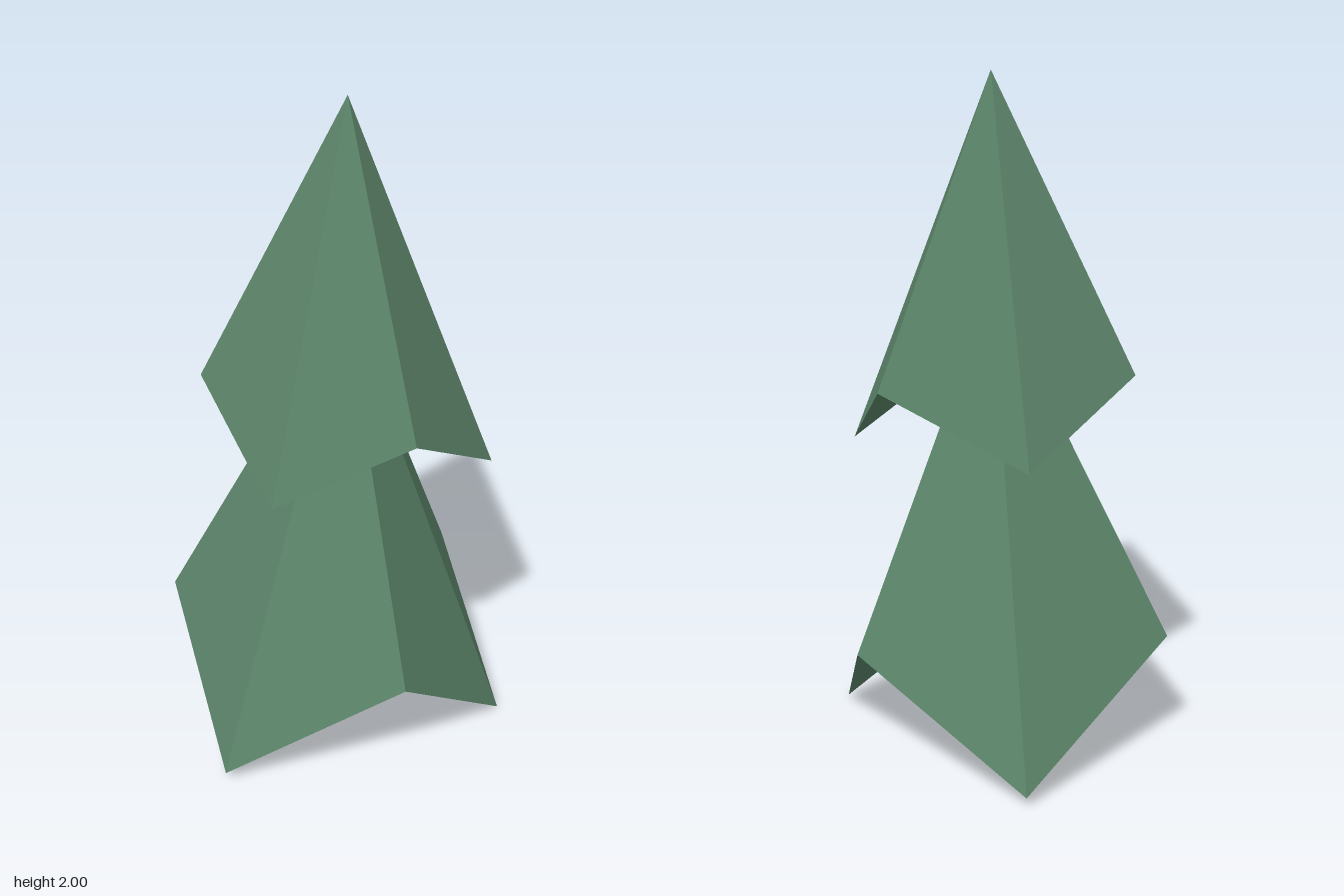
import * as THREE from 'three';

const foliage = new THREE.MeshStandardMaterial({ color: 0x5a8268, flatShading: true });
foliage.name = 'foliage green';

// Six-sided tier: a cone with a zigzag rim and a hollowed underside.
// The rim runs counter-clockwise seen from above.
function makeTier(name, apex, hollow, rim) {
  const positions = [];
  rim.forEach((p, i) => {
    const q = rim[(i + 1) % rim.length];
    positions.push(...p, ...q, ...apex); // outer slope
    positions.push(...q, ...p, ...hollow); // underside
  });
  const geometry = new THREE.BufferGeometry();
  geometry.setAttribute('position', new THREE.Float32BufferAttribute(positions, 3));
  geometry.computeVertexNormals();
  const mesh = new THREE.Mesh(geometry, foliage);
  mesh.name = name;
  return mesh;
}

export function createModel() {
  const tree = new THREE.Group();
  tree.name = 'coniferTree';

  // Wide lower branches
  tree.add(makeTier('lowerBranches', [0.04, 1.39, 0.02], [0.035, 0.47, 0.02], [
    [0.535, 0.36, -0.015],
    [0.267, 0.03, -0.487],
    [-0.293, 0.36, -0.415],
    [-0.535, 0.03, 0.097],
    [-0.168, 0.36, 0.487],
    [0.323, 0, 0.437],
  ]));

  // Narrower upper branches with the tree tip
  tree.add(makeTier('upperBranches', [0.035, 2, 0.03], [0.03, 1.25, 0.03], [
    [0.468, 1.14, -0.048],
    [0.168, 0.93, -0.355],
    [-0.25, 1.14, -0.292],
    [-0.34, 0.89, 0.11],
    [-0.11, 1.14, 0.45],
    [0.317, 0.89, 0.363],
  ]));

  return tree;
}
